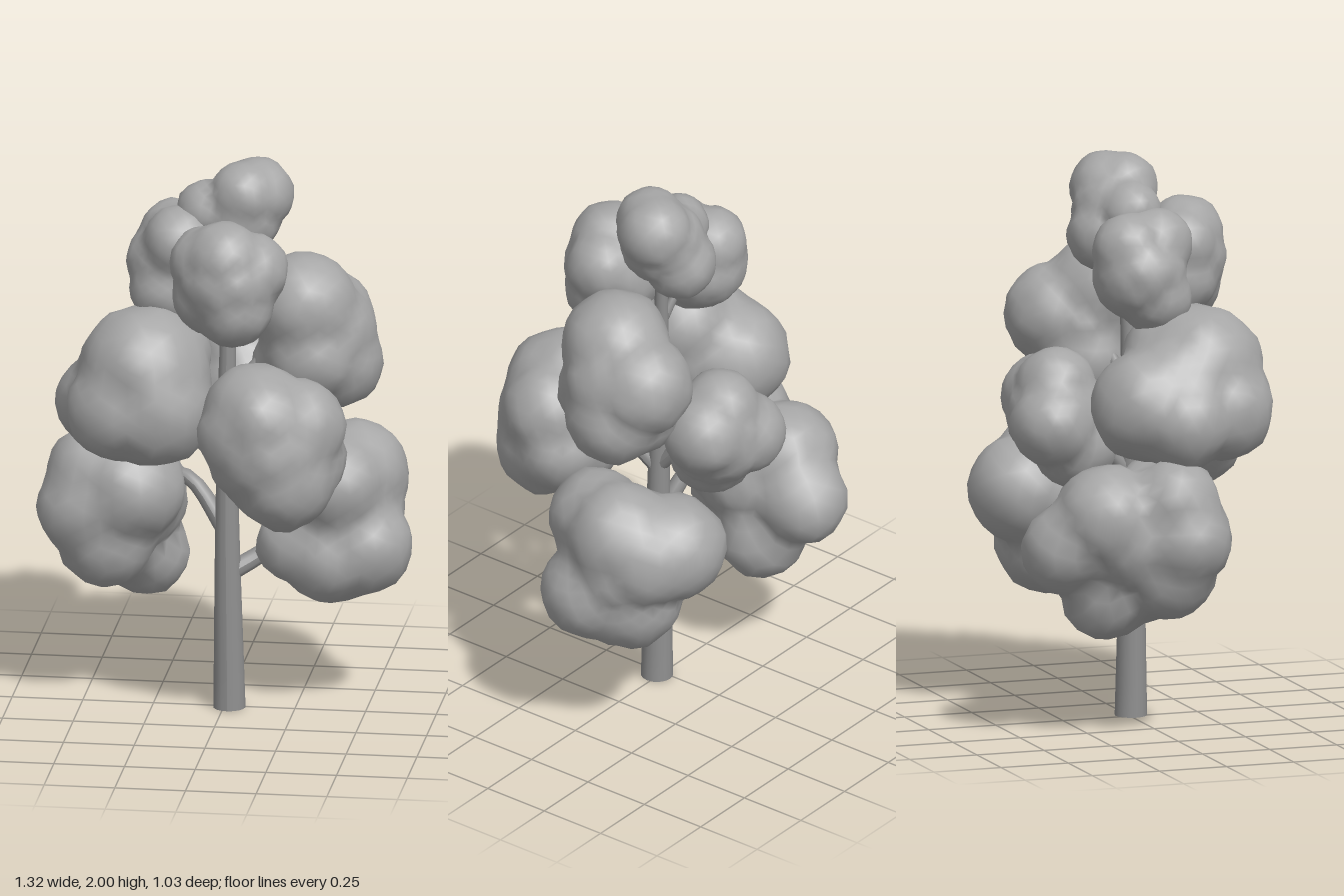
import * as THREE from 'three';
import { mergeVertices } from 'three/addons/utils/BufferGeometryUtils.js';

const leafMaterial = new THREE.MeshStandardMaterial({ color: 0xa6a6a6 });
const barkMaterial = new THREE.MeshStandardMaterial({ color: 0x8f8f8f });

// Each clump: its core (x, y, z, radius), then the lobes bulging from it
const clumps = {
  crownTop: [[0.05, 1.8, -0.04, 0.15], [0.11, 1.87, -0.05, 0.13], [-0.06, 1.81, -0.02, 0.11], [0.02, 1.72, -0.09, 0.13], [0.07, 1.88, 0.0, 0.12]],
  crownFront: [[0.04, 1.62, 0.18, 0.18], [-0.04, 1.68, 0.17, 0.13], [0.12, 1.66, 0.17, 0.13], [0.06, 1.53, 0.21, 0.14], [0.03, 1.7, 0.21, 0.14], [-0.02, 1.56, 0.17, 0.14]],
  crownSide: [[-0.18, 1.61, -0.03, 0.165], [-0.18, 1.7, -0.07, 0.13], [-0.2, 1.53, 0.02, 0.13], [-0.15, 1.71, 0.04, 0.13], [-0.22, 1.62, -0.03, 0.13]],
  upperRight: [[0.32, 1.36, -0.07, 0.21], [0.28, 1.48, -0.01, 0.19], [0.33, 1.39, -0.16, 0.18], [0.38, 1.26, -0.08, 0.17], [0.31, 1.31, 0.01, 0.17], [0.26, 1.24, -0.08, 0.17]],
  middleLeft: [[-0.29, 1.2, 0.08, 0.23], [-0.26, 1.27, 0.16, 0.23], [-0.33, 1.17, -0.06, 0.195], [-0.42, 1.12, 0.05, 0.17], [-0.22, 1.15, 0.2, 0.21], [-0.35, 1.14, 0.22, 0.18], [-0.21, 1.31, 0.08, 0.175]],
  middleFront: [[0.2, 1.05, 0.29, 0.225], [0.15, 1.17, 0.29, 0.18], [0.29, 1.12, 0.27, 0.175], [0.25, 0.94, 0.32, 0.18], [0.12, 1.1, 0.32, 0.17], [0.19, 0.97, 0.25, 0.18], [0.3, 0.99, 0.23, 0.16], [0.18, 1.16, 0.34, 0.17]],
  middleBack: [[0.03, 1.09, -0.26, 0.18], [-0.06, 1.07, -0.31, 0.15], [0.12, 1.14, -0.28, 0.15], [-0.01, 0.98, -0.21, 0.15], [0.02, 1.19, -0.27, 0.14]],
  lowerLeft: [[-0.37, 0.72, -0.13, 0.22], [-0.4, 0.79, -0.23, 0.19], [-0.5, 0.71, 0.03, 0.16], [-0.34, 0.68, -0.36, 0.16], [-0.31, 0.5, -0.2, 0.16], [-0.34, 0.79, 0.0, 0.2], [-0.42, 0.59, -0.01, 0.17], [-0.47, 0.84, 0.0, 0.16]],
  lowerRight: [[0.38, 0.7, -0.13, 0.24], [0.44, 0.83, -0.15, 0.19], [0.49, 0.59, -0.05, 0.17], [0.32, 0.77, -0.29, 0.19], [0.25, 0.6, -0.03, 0.14], [0.37, 0.56, -0.03, 0.17], [0.39, 0.83, -0.01, 0.17], [0.4, 0.57, -0.16, 0.19], [0.41, 0.77, -0.24, 0.19]],
};

// Outline of the lobes seen from the core: the farthest sphere hit along each ray
function clumpGeometry([core, ...lobes], seed) {
  const sphere = new THREE.IcosahedronGeometry(1, 6);
  sphere.deleteAttribute('normal');
  sphere.deleteAttribute('uv');
  const geometry = mergeVertices(sphere);
  const position = geometry.attributes.position;
  const centre = new THREE.Vector3(...core);
  const direction = new THREE.Vector3();
  for (let i = 0; i < position.count; i++) {
    direction.fromBufferAttribute(position, i).normalize();
    let reach = core[3];
    for (const [x, y, z, r] of lobes) {
      const offset = new THREE.Vector3(x, y, z).sub(centre);
      const along = offset.dot(direction);
      const inside = along * along - offset.lengthSq() + r * r;
      if (inside > 0) reach = Math.max(reach, along + Math.sqrt(inside));
    }
    // Slight lumpiness of the leaves
    reach *= 1 + 0.03 * Math.sin(9 * direction.x + seed) * Math.sin(8 * direction.y + 2 * seed) * Math.cos(9 * direction.z - seed);
    direction.multiplyScalar(reach).add(centre);
    position.setXYZ(i, direction.x, direction.y, direction.z);
  }
  geometry.computeVertexNormals();
  return geometry;
}

// Tapered round limb through a few points
function limbGeometry(points, startRadius, endRadius, segments = 8, sides = 12) {
  const curve = new THREE.CatmullRomCurve3(points.map((p) => new THREE.Vector3(...p)));
  const geometry = new THREE.TubeGeometry(curve, segments, 1, sides);
  const position = geometry.attributes.position;
  const point = new THREE.Vector3();
  for (let i = 0; i < position.count; i++) {
    const t = Math.floor(i / (sides + 1)) / segments;
    const centre = curve.getPointAt(t);
    point.fromBufferAttribute(position, i).sub(centre);
    point.multiplyScalar(THREE.MathUtils.lerp(startRadius, endRadius, t)).add(centre);
    position.setXYZ(i, point.x, point.y, point.z);
  }
  geometry.computeVertexNormals();
  return geometry;
}

export function createModel() {
  const tree = new THREE.Group();
  tree.name = 'tree';
  const add = (name, geometry, material) => {
    const mesh = new THREE.Mesh(geometry, material);
    mesh.name = name;
    tree.add(mesh);
    return mesh;
  };

  // Trunk with its flat base
  add('trunk', limbGeometry([[0.02, 0, 0.01], [0.012, 0.7, 0.01], [0.012, 1.3, 0], [0.03, 1.8, -0.02]], 0.057, 0.018, 16, 16), barkMaterial);
  const base = add('trunkBase', new THREE.CircleGeometry(0.057, 16), barkMaterial);
  base.rotation.x = Math.PI / 2;
  base.position.set(0.02, 0, 0.01);

  // Branches rise steeply from the trunk, then bend into their clump: start height, bend height
  const branches = {
    crownFront: [1.42, 1.54], crownSide: [1.4, 1.53], upperRight: [1.12, 1.26], middleLeft: [0.98, 1.1],
    middleFront: [0.84, 0.96], middleBack: [0.85, 0.97], lowerLeft: [0.64, 0.82], lowerRight: [0.49, 0.56],
  };
  for (const [name, [start, bend]] of Object.entries(branches)) {
    const [x, y, z] = clumps[name][0];
    const radius = 0.046 - 0.02 * start;
    add(name + 'Branch', limbGeometry(
      [[0.012, start, 0.01], [x * 0.36, bend, z * 0.36], [x * 0.75, Math.max(y, bend), z * 0.75]], radius, radius * 0.7), barkMaterial);
  }

  // Foliage
  Object.entries(clumps).forEach(([name, lobes], i) => add(name + 'Foliage', clumpGeometry(lobes, i + 1), leafMaterial));
  return tree;
}
